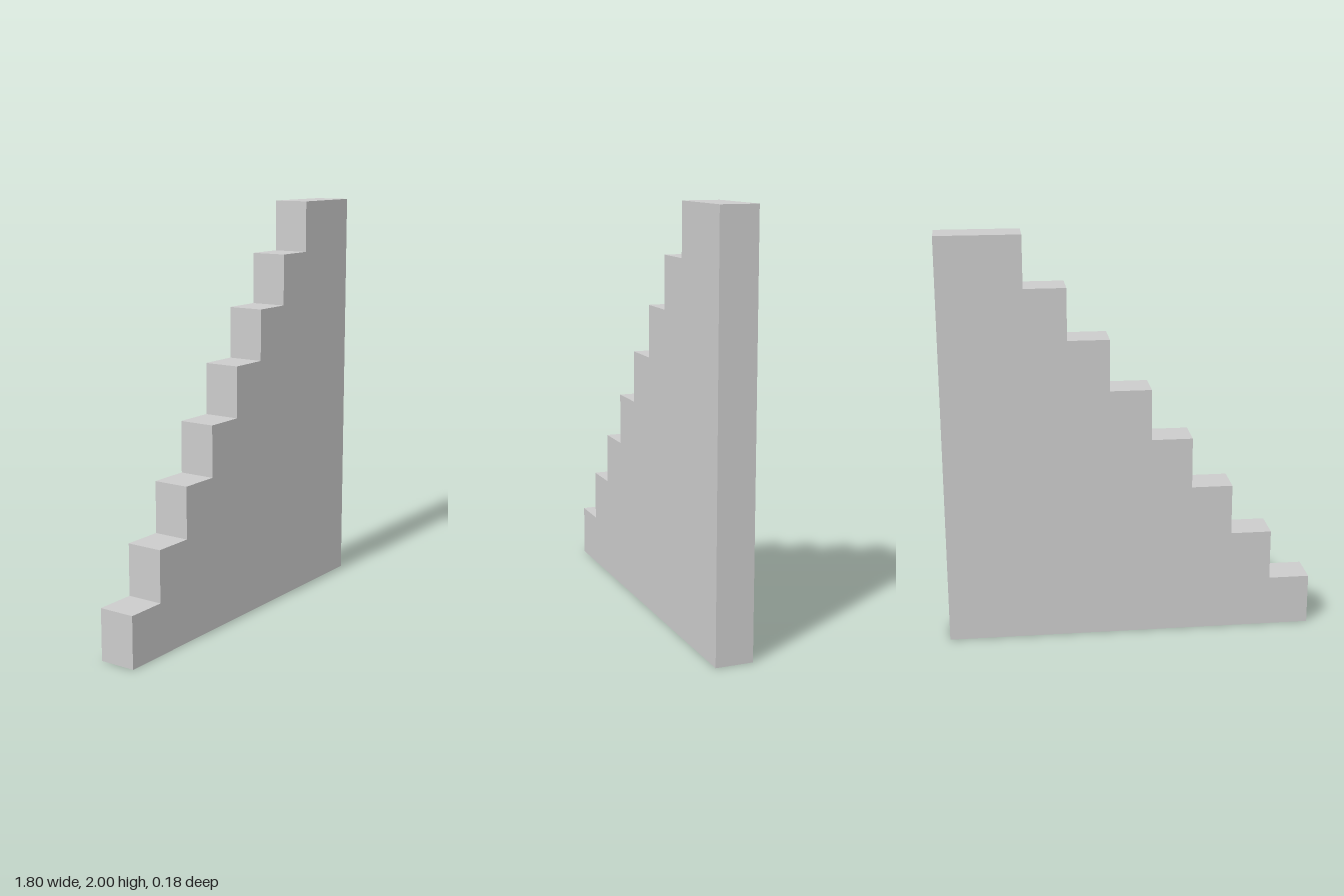
import * as THREE from 'three';

const STEPS = 8, RUN = 0.2, RISE = 0.25, WIDTH = 1.8, DEPTH = 0.18;

export function createModel() {
  const group = new THREE.Group();
  group.name = 'steppedWall';

  // Stepped outline, rising from left to right to a double-width top landing
  const x0 = -WIDTH / 2;
  const outline = new THREE.Shape();
  outline.moveTo(WIDTH / 2, 0);
  outline.lineTo(WIDTH / 2, STEPS * RISE);
  for (let i = STEPS - 1; i >= 0; i--) {
    outline.lineTo(x0 + i * RUN, (i + 1) * RISE);
    outline.lineTo(x0 + i * RUN, i * RISE);
  }
  outline.closePath();

  // Solid slab, centred front to back
  const geometry = new THREE.ExtrudeGeometry(outline, { depth: DEPTH, bevelEnabled: false });
  geometry.translate(0, 0, -DEPTH / 2);
  const stairs = new THREE.Mesh(geometry, new THREE.MeshStandardMaterial({ color: 0xcccccc }));
  stairs.name = 'stairs';
  group.add(stairs);
  return group;
}
